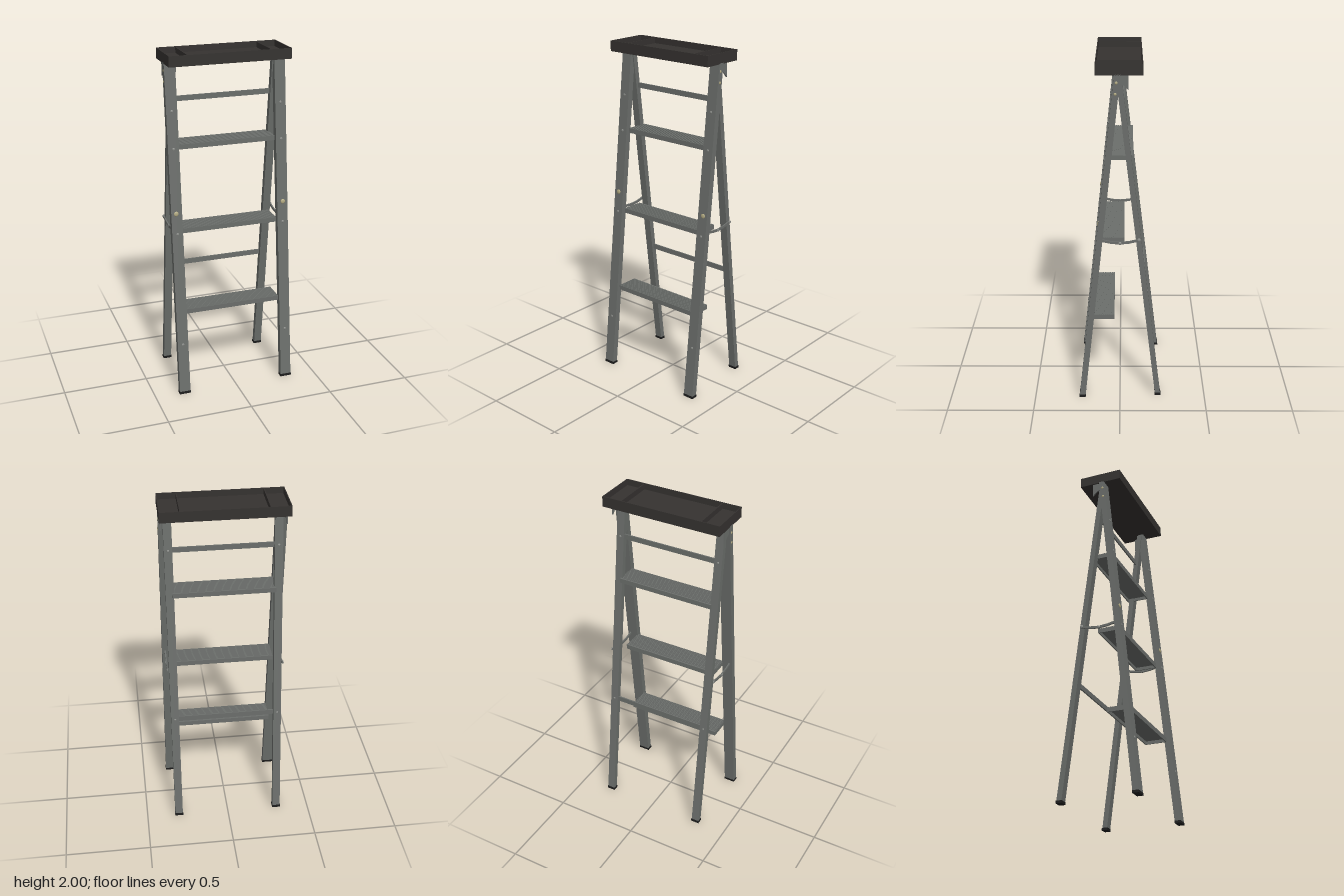
import * as THREE from 'three';

const mat = (color) => new THREE.MeshStandardMaterial({ color });
const metal = mat(0x6b6e6b), plastic = mat(0x353230), rubber = mat(0x1c1c1c), brass = mat(0xb0a880), steel = mat(0x8a8c88);

export function createModel() {
  const root = new THREE.Group();

  const add = (name, geo, material, parent = root) => {
    const mesh = new THREE.Mesh(geo, material);
    mesh.name = name;
    parent.add(mesh);
    return mesh;
  };
  const box = (name, x0, x1, y0, y1, z0, z1, material, parent) =>
    add(name, new THREE.BoxGeometry(x1 - x0, y1 - y0, z1 - z0)
      .translate((x0 + x1) / 2, (y0 + y1) / 2, (z0 + z1) / 2), material, parent);
  // Side outline of [z, y] points, extruded along x around a centre
  const profile = (name, points, xc, width, material, parent) => {
    const shape = new THREE.Shape(points.map(([z, y]) => new THREE.Vector2(z, y)));
    const geo = new THREE.ExtrudeGeometry(shape, { depth: width, bevelEnabled: false });
    geo.rotateY(-Math.PI / 2).translate(xc + width / 2, 0, 0);
    return add(name, geo, material, parent);
  };
  // Domed rivet facing along a direction
  const rivet = (name, x, y, z, dir, r, material) => {
    const m = add(name, new THREE.SphereGeometry(r, 12, 8).scale(1, 1, 0.35), material);
    m.position.set(x, y, z);
    m.quaternion.setFromUnitVectors(new THREE.Vector3(0, 0, 1), new THREE.Vector3(...dir).normalize());
  };

  // Centre lines of the leaning legs
  const frontZ = (y) => 0.222 - 0.107 * y;
  const backZ = (y) => -0.224 + 0.12 * y;
  const leg = (name, zAt, y0, y1, half, xc, width, material) =>
    profile(name, [[zAt(y0) - half, y0], [zAt(y0) + half, y0], [zAt(y1) + half, y1], [zAt(y1) - half, y1]], xc, width, material);

  for (const s of [-1, 1]) {
    const side = s > 0 ? 'left' : 'right';
    // Legs with rubber feet
    leg(`${side}FrontLeg`, frontZ, 0.01, 1.945, 0.017, s * 0.321, 0.064, metal);
    leg(`${side}FrontFoot`, frontZ, 0, 0.014, 0.0185, s * 0.321, 0.068, rubber);
    leg(`${side}BackLeg`, backZ, 0.01, 1.93, 0.015, s * 0.305, 0.046, metal);
    leg(`${side}BackFoot`, backZ, 0, 0.014, 0.0175, s * 0.305, 0.05, rubber);

    // Hinge bracket under the tray
    profile(`${side}HingeBracket`, [[0.02, 1.945], [0.01, 1.9], [-0.02, 1.885], [-0.044, 1.86], [-0.044, 1.945]], s * 0.342, 0.008, metal);

    // Folding spreader arm, slightly sagging at its joint
    const top = [[0.105, 1.008], [0.05, 0.996], [0, 0.992], [-0.05, 0.997], [-0.112, 1.012]];
    const bottom = top.map(([z, y]) => [z, y - 0.014]).reverse();
    profile(`${side}Spreader`, [...top, ...bottom], s * 0.335, 0.008, metal);
    rivet(`${side}SpreaderJoint`, s * 0.339, 0.985, 0, [s, 0, 0], 0.009, steel);
    rivet(`${side}SpreaderPin`, s * 0.339, 1.005, -0.106, [s, 0, 0], 0.01, steel);

    // Rivets on the leg faces and sides
    for (const y of [0.31, 0.98, 1.47, 1.68])
      rivet('frontRivet', s * 0.321, y, frontZ(y) + 0.017, [0, 0.107, 1], 0.008, steel);
    rivet('brassRivet', s * 0.324, 1.1, frontZ(1.1) + 0.017, [0, 0.107, 1], 0.014, brass);
    for (const y of [0.68, 1.73])
      rivet('backRivet', s * 0.305, y, backZ(y) - 0.015, [0, 0.12, -1], 0.007, steel);
    for (const [y, z] of [[1.9, 0.02], [1.84, 0.025]])
      rivet('hingePin', s * 0.353, y, z, [s, 0, 0], 0.008, brass);
  }

  // Ribbed treads, hollow underneath
  const depth = 0.132, ribs = 12, wall = 0.006;
  for (const [y, front] of [[0.515, 0.165], [1.0, 0.108], [1.485, 0.058]]) {
    const step = new THREE.Group();
    step.name = 'step';
    root.add(step);
    const back = front - depth, low = y - 0.028, pitch = depth / ribs;
    const pts = [[front, low]];
    for (let i = 0; i < ribs; i++) {
      const z = front - i * pitch;
      pts.push([z, y], [z - pitch * 0.6, y]);
      if (i < ribs - 1) pts.push([z - pitch * 0.6, y - 0.003], [z - pitch, y - 0.003]);
    }
    pts.push([back, y], [back, low], [back + wall, low], [back + wall, y - 0.009], [front - wall, y - 0.009], [front - wall, low]);
    profile('tread', pts, 0, 0.58, metal, step);
    for (const s of [-1, 1])
      box('treadEnd', s * 0.287 - 0.003, s * 0.287 + 0.003, low, y - 0.004, back + 0.001, front - 0.001, metal, step);
  }

  // Rear crossbars
  for (const y of [0.68, 1.73]) {
    const z = backZ(y) - 0.003;
    box('rearCrossbar', -0.285, 0.285, y - 0.015, y + 0.015, z - 0.004, z + 0.004, metal);
  }

  // Top tray with a rim and two dividers
  const tray = new THREE.Group();
  tray.name = 'topTray';
  root.add(tray);
  const X = 0.353, z0 = -0.122, z1 = 0.132, t = 0.005;
  box('trayFloor', -X + t, X - t, 1.94, 1.965, z0 + t, z1 - t, plastic, tray);
  box('trayBackRim', -X, X, 1.94, 2, z0, z0 + t, plastic, tray);
  box('trayFrontRim', -X, X, 1.94, 2, z1 - t, z1, plastic, tray);
  for (const s of [-1, 1]) {
    box('traySideRim', s * (X - t / 2) - t / 2, s * (X - t / 2) + t / 2, 1.94, 2, z0 + t, z1 - t, plastic, tray);
    box('trayDivider', s * 0.241 - 0.003, s * 0.241 + 0.003, 1.965, 1.996, z0 + t, z1 - t, plastic, tray);
  }
  return root;
}
